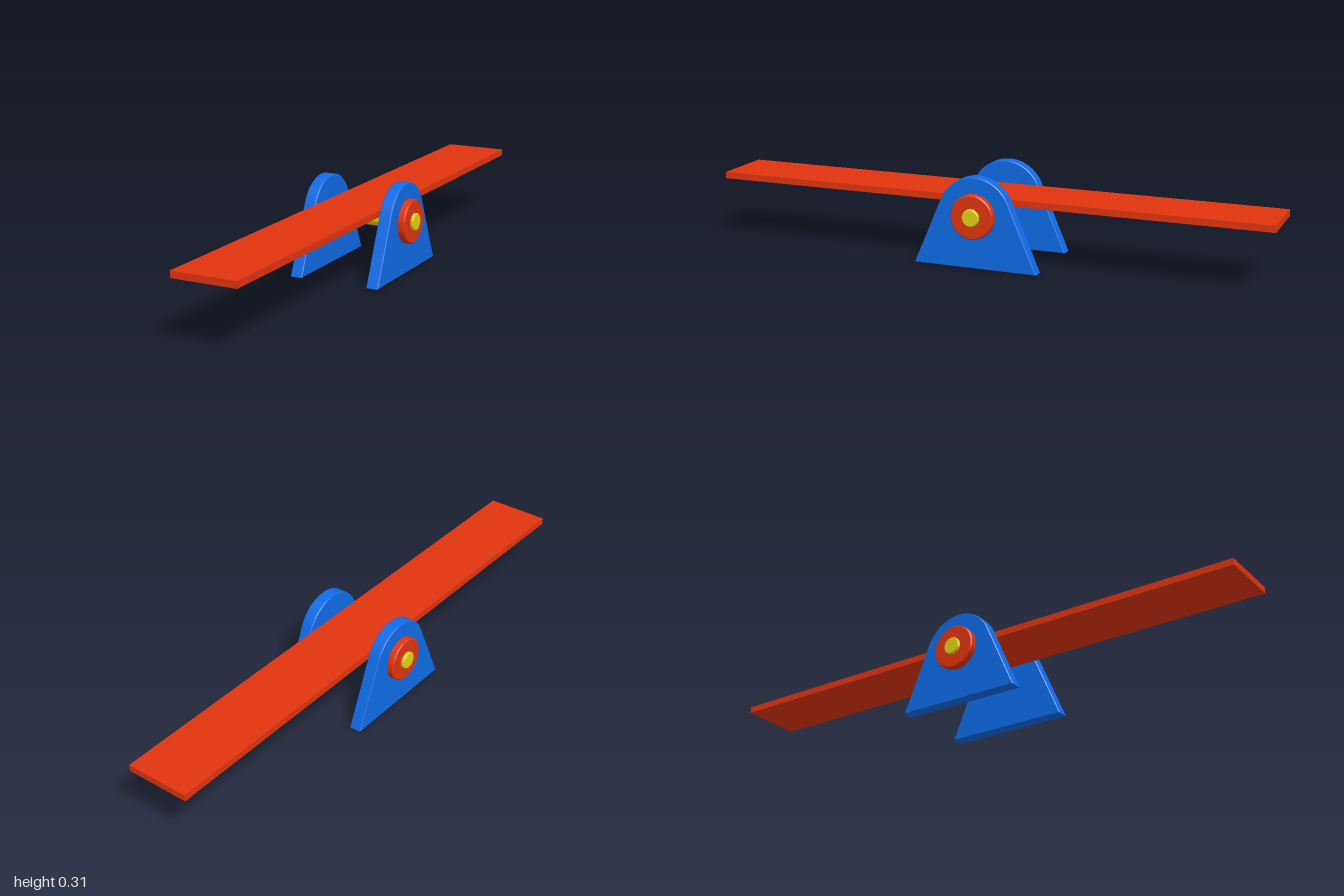
import * as THREE from 'three';
import { toCreasedNormals } from 'three/addons/utils/BufferGeometryUtils.js';

const AXLE_Y = 0.184;
const red = new THREE.MeshStandardMaterial({ color: 0xe0340f });
const blue = new THREE.MeshStandardMaterial({ color: 0x0f6be6 });
const yellow = new THREE.MeshStandardMaterial({ color: 0xe0d010 });

function addPart(parent, name, geometry, material, x, y) {
  const mesh = new THREE.Mesh(geometry, material);
  mesh.name = name;
  mesh.position.set(x, y, 0);
  parent.add(mesh);
}

// Solid disc or rod along x with slightly eased rims
function rod(radius, length, ease = 0.003) {
  const h = length / 2;
  const profile = [
    [0, -h], [radius - ease, -h], [radius, -h + ease],
    [radius, h - ease], [radius - ease, h], [0, h],
  ].map(([r, y]) => new THREE.Vector2(r, y));
  const geometry = new THREE.LatheGeometry(profile, 48).rotateZ(-Math.PI / 2);
  return toCreasedNormals(geometry, 0.5);
}

// Tapered plate with a round top whose sides run tangent to the arc
function supportGeometry(foot, radius, thickness, ease = 0.003) {
  const toFoot = Math.atan2(-AXLE_Y, foot);
  const tangent = toFoot + Math.acos(radius / Math.hypot(foot, AXLE_Y));
  const shape = new THREE.Shape();
  shape.moveTo(-foot, 0);
  shape.lineTo(foot, 0);
  shape.absarc(0, AXLE_Y, radius, tangent, Math.PI - tangent, false);
  shape.closePath();
  const depth = thickness - 2 * ease;
  const geometry = new THREE.ExtrudeGeometry(shape, {
    depth, curveSegments: 32, bevelEnabled: true, bevelSegments: 1,
    bevelThickness: ease, bevelSize: ease, bevelOffset: -ease,
  });
  geometry.translate(0, 0, -depth / 2).rotateY(Math.PI / 2);
  return toCreasedNormals(geometry, 0.5);
}

export function createModel() {
  const model = new THREE.Group();
  model.name = 'seesaw';

  // Plank resting on the axle
  addPart(model, 'plank', new THREE.BoxGeometry(0.227, 0.023, 2), red, 0, 0.2265);
  addPart(model, 'axle', rod(0.03, 0.406), yellow, 0, AXLE_Y);

  // Matching support plate and hub on each side
  const support = supportGeometry(0.222, 0.131, 0.044);
  const hub = rod(0.0765, 0.028, 0.004);
  for (const [side, s] of [['left', 1], ['right', -1]]) {
    addPart(model, side + 'Support', support, blue, s * 0.144, 0);
    addPart(model, side + 'Hub', hub, red, s * 0.178, AXLE_Y);
  }
  return model;
}
